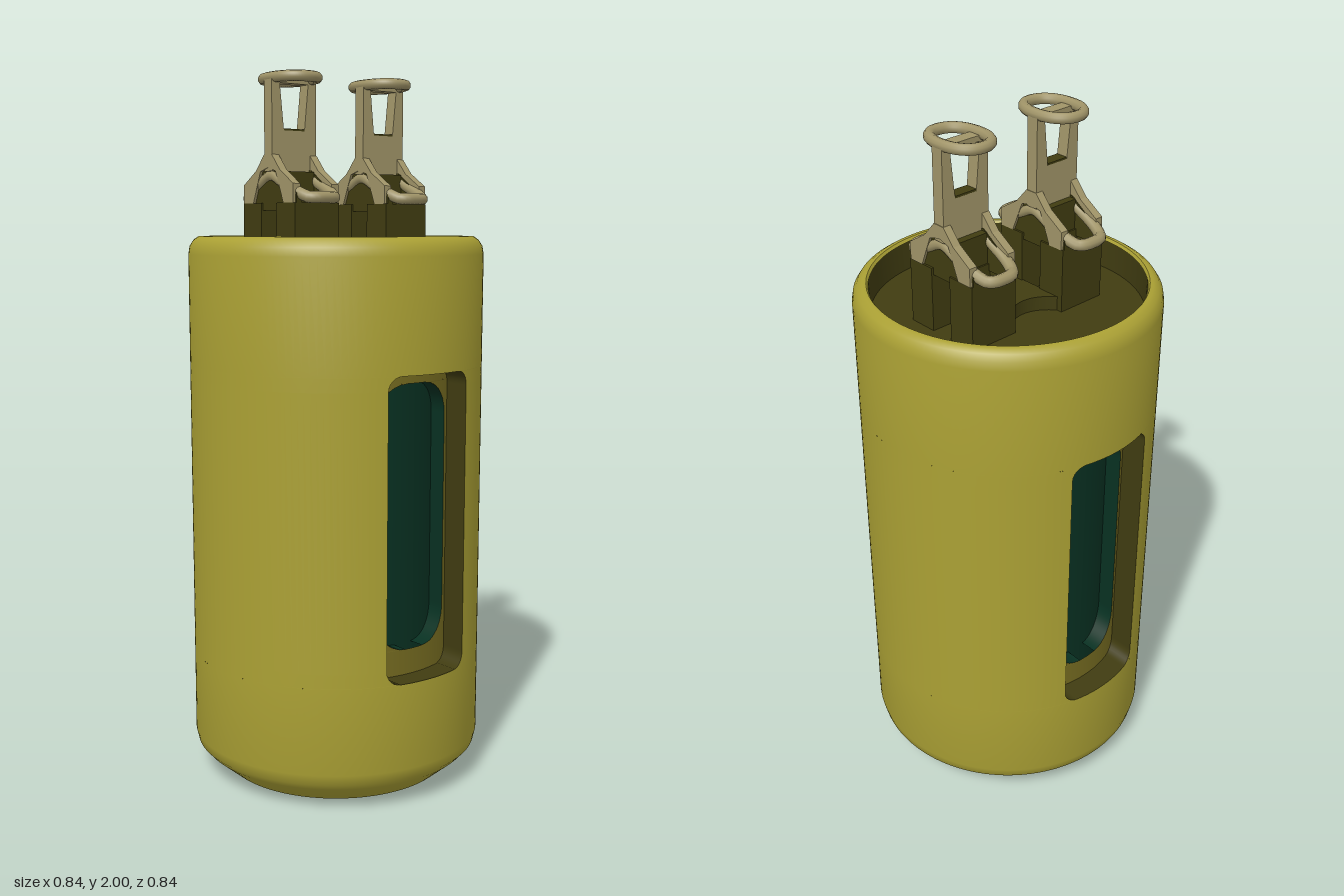
import * as THREE from 'three';
import { toCreasedNormals } from 'three/addons/utils/BufferGeometryUtils.js';
import { ParametricGeometry } from 'three/addons/geometries/ParametricGeometry.js';

const material = (name, color, side = THREE.FrontSide) => {
  const m = new THREE.MeshStandardMaterial({ color, side });
  m.name = name;
  return m;
};

export function createModel() {
  const olive = material('olive shell', 0xaaa034, THREE.DoubleSide);
  const midOlive = material('mid olive', 0x746a20, THREE.DoubleSide);
  const darkOlive = material('dark olive', 0x403c11, THREE.DoubleSide);
  const green = material('dark green', 0x083122, THREE.DoubleSide);
  const yellow = material('bright yellow', 0xe4da66, THREE.DoubleSide);
  const tan = material('tan', 0xa09468);

  const model = new THREE.Group();
  const add = (parent, name, geo, mat) => {
    const mesh = new THREE.Mesh(geo, mat);
    mesh.name = name;
    parent.add(mesh);
    return mesh;
  };
  const lathe = pts => toCreasedNormals(
    new THREE.LatheGeometry(pts.map(p => new THREE.Vector2(...p)), 128), 0.6);
  const tube = (r, y0, y1) =>
    new THREE.CylinderGeometry(r, r, y1 - y0, 64, 1, true).translate(0, (y0 + y1) / 2, 0);
  const polygon = pts => new THREE.Shape(pts.map(p => new THREE.Vector2(...p)));
  const extrude = (shape, depth) =>
    new THREE.ExtrudeGeometry(shape, { depth, bevelEnabled: false, curveSegments: 24 });
  // Horizontal slab from a plan shape
  const slab = (shape, y0, y1) =>
    extrude(shape, y1 - y0).rotateX(-Math.PI / 2).translate(0, y0, 0);
  const rect = (x0, x1, y0, y1) => [[x0, y0], [x1, y0], [x1, y1], [x0, y1]];

  // Half of a round wall, leaving round-cornered windows on the +x and -x sides
  const halfWall = (r, y0, y1, half, corner) => {
    const rows = [];
    for (let i = 0; i <= 6; i++) {
      const a = i / 6 * Math.PI / 2;
      rows.push([corner * (1 - Math.cos(a)), half - corner + corner * Math.sin(a)]);
    }
    const ys = [...rows.map(([d, w]) => [y0 + d, w]),
      ...rows.slice().reverse().map(([d, w]) => [y1 - d, w])];
    const stacks = ys.length - 1;
    const geo = new ParametricGeometry((u, v, target) => {
      const [y, w] = ys[Math.round(v * stacks)];
      const edge = Math.asin(w / r);
      const a = edge + (Math.PI - 2 * edge) * (1 - u);
      target.set(r * Math.cos(a), y, r * Math.sin(a));
    }, 60, stacks);
    geo.computeVertexNormals();
    return geo;
  };

  // Reveal running round a window, through the thickness of the wall
  const reveal = (rOut, rIn, y0, y1, half, c) => {
    const path = new THREE.Path();
    path.moveTo(-half + c, y0);
    path.absarc(half - c, y0 + c, c, -Math.PI / 2, 0);
    path.absarc(half - c, y1 - c, c, 0, Math.PI / 2);
    path.absarc(-half + c, y1 - c, c, Math.PI / 2, Math.PI);
    path.absarc(-half + c, y0 + c, c, Math.PI, Math.PI * 1.5);
    return new ParametricGeometry((u, v, target) => {
      const p = path.getPoint(Math.min(u, 1));
      const r = rIn + v * (rOut - rIn);
      target.set(Math.sqrt(r * r - p.x * p.x), p.y, p.x);
    }, 240, 1);
  };

  // Outer shell: base, windowed middle, rim
  const shell = new THREE.Group();
  shell.name = 'shell';
  model.add(shell);
  add(shell, 'base', lathe([
    [0.265, 0], [0.3, 0], [0.33, 0.01], [0.395, 0.065], [0.413, 0.085], [0.42, 0.115], [0.42, 0.36],
  ]), olive);
  add(shell, 'bottomOpening', lathe([
    [0.35, 0.08], [0.19, 0.08], [0.19, 0.035], [0.255, 0.03], [0.265, 0],
  ]), darkOlive);
  add(shell, 'rim', lathe([
    [0.42, 1.2], [0.42, 1.51], [0.416, 1.533], [0.405, 1.55], [0.39, 1.56], [0.38, 1.56], [0.375, 1.553],
  ]), olive);
  add(shell, 'rimInnerWall', lathe([[0.375, 1.553], [0.372, 1.44], [0.35, 1.44], [0.35, 1.2]]), darkOlive);
  for (const y of [0.358, 1.202]) add(shell, 'wallSeal', lathe([[0.348, y], [0.419, y]]), darkOlive);
  const outerWindow = [0.36, 1.2, 0.14, 0.04];
  const innerWindow = [0.43, 1.17, 0.125, 0.095];
  for (const turn of [0, Math.PI]) {
    const parts = [
      add(shell, 'windowWall', halfWall(0.42, ...outerWindow), olive),
      add(shell, 'windowReveal', reveal(0.42, 0.349, ...outerWindow), darkOlive),
      add(shell, 'windowFrame', halfWall(0.349, ...innerWindow), midOlive),
      add(shell, 'frameReveal', reveal(0.349, 0.3, ...innerWindow), green),
    ];
    for (const part of parts) part.rotation.y = turn;
  }
  add(shell, 'lowerLiner', tube(0.349, 0.08, 0.43), midOlive);
  add(shell, 'upperLiner', tube(0.349, 1.17, 1.45), midOlive);

  // Inside tubes
  add(model, 'innerTube', tube(0.3, 0.08, 1.44), green);
  add(model, 'innerBand', tube(0.294, 0.18, 0.45), yellow);

  // Sunken lid with four slots
  const lid = new THREE.Shape().absarc(0, 0, 0.374, 0, Math.PI * 2);
  const footSlot = (sx, z) => {
    const [a, b] = sx > 0 ? [0.045, 0.11] : [-0.11, -0.045];
    return polygon(rect(a, b, z - 0.055, z + 0.055));
  };
  for (const sx of [-1, 1]) for (const z of [-0.16, 0.16]) lid.holes.push(footSlot(sx, z));
  add(model, 'lid', slab(lid, 1.44, 1.47), darkOlive);

  // Waisted bridge between the two clips
  const waist = new THREE.Shape();
  waist.moveTo(-0.11, -0.09);
  waist.lineTo(0.11, -0.09);
  waist.bezierCurveTo(0.04, -0.04, 0.04, 0.04, 0.11, 0.09);
  waist.lineTo(-0.11, 0.09);
  waist.bezierCurveTo(-0.04, 0.04, -0.04, -0.04, -0.11, -0.09);
  add(model, 'bridge', slab(waist, 1.47, 1.51), darkOlive);

  // Rounded closed loop of tube
  const loop = (rx, rz, power, height, radius) => {
    const pts = [];
    for (let i = 0; i < 32; i++) {
      const a = i / 32 * Math.PI * 2, c = Math.cos(a), s = Math.sin(a);
      const x = rx * Math.sign(c) * Math.abs(c) ** power;
      pts.push(new THREE.Vector3(x, height(x), rz * Math.sign(s) * Math.abs(s) ** power));
    }
    return new THREE.TubeGeometry(new THREE.CatmullRomCurve3(pts, true), 80, radius, 10, true);
  };

  // Two clips, front and back
  for (const z of [0.16, -0.16]) {
    const clip = new THREE.Group();
    clip.name = z > 0 ? 'frontClip' : 'backClip';
    clip.position.z = z;
    model.add(clip);

    // Hollow feet
    for (const sx of [-1, 1]) {
      const [a, b] = sx > 0 ? [0.035, 0.12] : [-0.12, -0.035];
      const foot = polygon(rect(a, b, -0.075, 0.075));
      foot.holes.push(footSlot(sx, 0));
      add(clip, 'foot', slab(foot, 1.45, 1.65), darkOlive);
    }
    // Arch joining the feet, with tan shoulders sloping over it
    const arch = polygon([[-0.12, 1.63], [0.12, 1.63], [0.12, 1.675], [0.025, 1.74], [-0.025, 1.74], [-0.12, 1.675]]);
    const shoulders = polygon([
      [0, 1.745], [0.035, 1.735], [0.07, 1.65], [0.115, 1.65], [0.115, 1.7], [0.055, 1.738], [0.018, 1.78],
      [-0.018, 1.78], [-0.055, 1.738], [-0.115, 1.7], [-0.115, 1.65], [-0.07, 1.65], [-0.035, 1.735],
    ]);
    for (const side of [-1, 1]) {
      add(clip, 'archPlate', extrude(arch, 0.018).translate(0, 0, side * 0.06 - 0.009), darkOlive);
      add(clip, 'shoulders', extrude(shoulders, 0.024).translate(0, 0, side * 0.065 - 0.012), tan);
    }
    add(clip, 'archCore', new THREE.BoxGeometry(0.08, 0.1, 0.1).translate(0, 1.685, 0), darkOlive);

    // Drooping side loop, stem with tapered opening, top ring
    add(clip, 'sideLoop', loop(0.157, 0.061, 0.6,
      x => 1.664 + 0.06 * Math.max(0, 1 - Math.abs(x) / 0.14), 0.016).scale(1, 1, 1), tan);
    const stem = polygon([[-0.075, 1.735], [0.075, 1.735], [0.075, 1.985], [-0.075, 1.985]]);
    stem.holes.push(polygon([[-0.035, 1.845], [0.035, 1.845], [0.048, 1.97], [-0.048, 1.97]]));
    add(clip, 'stem', extrude(stem, 0.036).translate(0, 0, -0.018).rotateY(Math.PI / 2), tan);
    add(clip, 'stemSill', new THREE.BoxGeometry(0.036, 0.006, 0.07).translate(0, 1.847, 0), darkOlive);
    add(clip, 'topRing', loop(0.085, 0.062, 0.9, () => 1.985, 0.015), tan);
  }
  return model;
}
